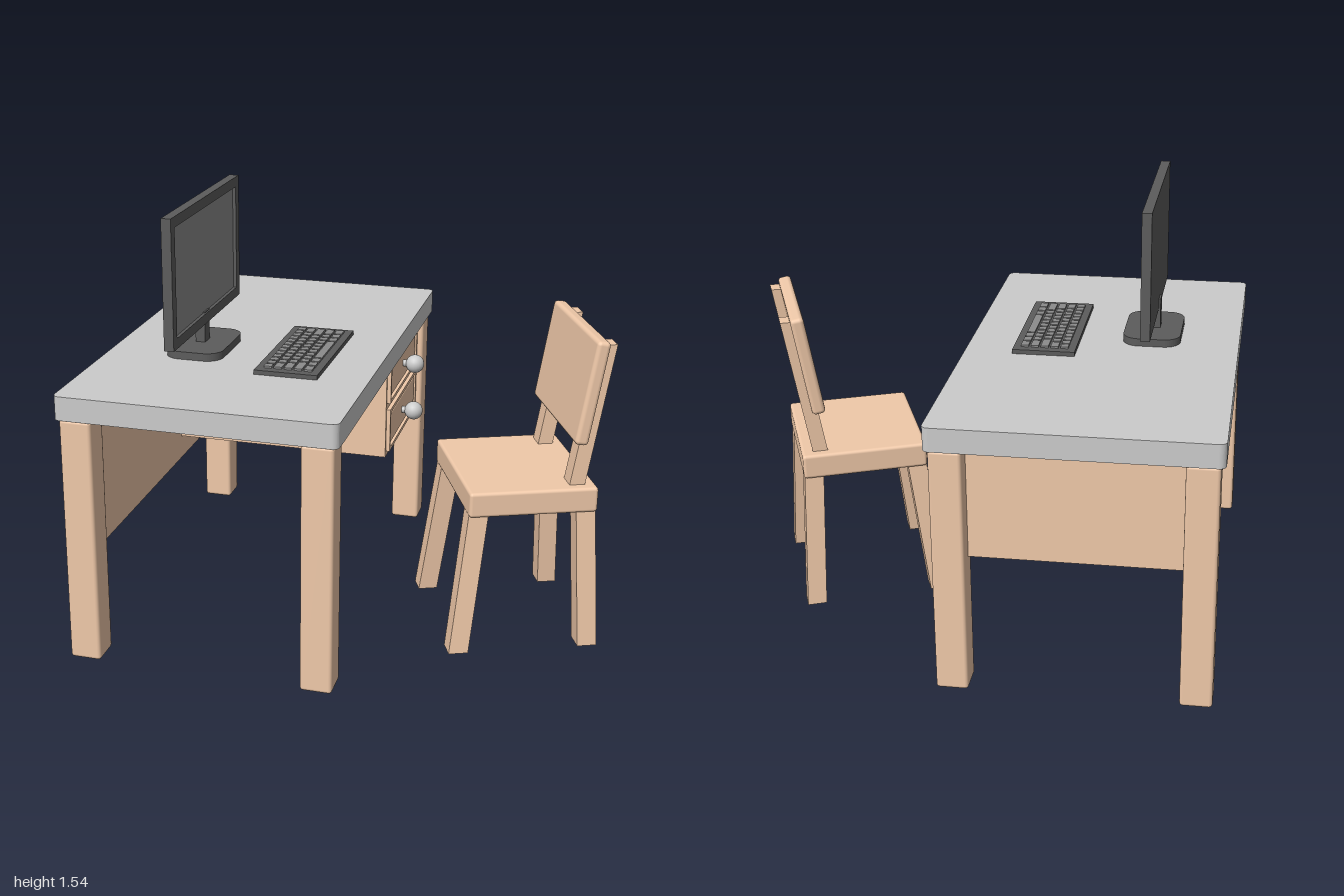
import * as THREE from 'three';
import { RoundedBoxGeometry } from 'three/addons/geometries/RoundedBoxGeometry.js';

const mat = (color) => new THREE.MeshStandardMaterial({ color });
const wood = mat(0xf0c9a9), grey = mat(0xcccccc), dark = mat(0x5c5c5c), screenGrey = mat(0x8c8c8c);

function add(parent, name, geometry, material, x = 0, y = 0, z = 0) {
  const mesh = new THREE.Mesh(geometry, material);
  mesh.name = name;
  mesh.position.set(x, y, z);
  parent.add(mesh);
  return mesh;
}

const box = (w, h, d) => new THREE.BoxGeometry(w, h, d);
const softBox = (w, h, d, r = 0.01) => new RoundedBoxGeometry(w, h, d, 2, r);

// Flat slab with corners rounded in plan, standing on y = 0
function slab(w, d, h, r) {
  const s = new THREE.Shape(), a = w / 2, b = d / 2;
  s.moveTo(-a + r, -b);
  s.absarc(a - r, -b + r, r, -Math.PI / 2, 0);
  s.absarc(a - r, b - r, r, 0, Math.PI / 2);
  s.absarc(-a + r, b - r, r, Math.PI / 2, Math.PI);
  s.absarc(-a + r, -b + r, r, Math.PI, Math.PI * 1.5);
  return new THREE.ExtrudeGeometry(s, { depth: h, bevelEnabled: false, curveSegments: 6 }).rotateX(-Math.PI / 2);
}

// Rectangular ring, its back on z = 0
function ring(w, h, edge, depth) {
  const rect = (path, a, b) => {
    path.moveTo(-a, -b);
    path.lineTo(a, -b);
    path.lineTo(a, b);
    path.lineTo(-a, b);
    path.closePath();
    return path;
  };
  const s = rect(new THREE.Shape(), w / 2, h / 2);
  s.holes.push(rect(new THREE.Path(), w / 2 - edge, h / 2 - edge));
  return new THREE.ExtrudeGeometry(s, { depth, bevelEnabled: false });
}

// Box sheared so its foot is at (x0, y0, z0) and its top at (x1, y1, z1)
function slanted(geometry, [x0, y0, z0], [x1, y1, z1]) {
  const p = geometry.attributes.position;
  for (let i = 0; i < p.count; i++) {
    const t = p.getY(i) + 0.5;
    p.setXYZ(i, p.getX(i) + x0 + (x1 - x0) * t, y0 + (y1 - y0) * t, p.getZ(i) + z0 + (z1 - z0) * t);
  }
  geometry.computeVertexNormals();
  return geometry;
}

function buildDesk() {
  const desk = new THREE.Group();
  desk.name = 'desk';
  add(desk, 'deskTop', slab(1.62, 0.98, 0.085, 0.025), grey, 0, 0.895, 0);
  for (const x of [-0.745, 0.745])
    for (const z of [-0.418, 0.418])
      add(desk, 'deskLeg', softBox(0.112, 0.895, 0.112, 0.012), wood, x, 0.4475, z);
  add(desk, 'backPanel', box(1.42, 0.505, 0.05), wood, 0, 0.6425, -0.418);

  // Drawer cabinet between the right legs
  add(desk, 'drawerCabinet', box(0.57, 0.412, 0.83), wood, 0.448, 0.689, 0.023);
  for (const y of [0.785, 0.59]) {
    add(desk, 'drawerFrame', ring(0.505, 0.17, 0.014, 0.016), wood, 0.426, y, 0.437);
    add(desk, 'drawerFront', softBox(0.46, 0.125, 0.02, 0.006), wood, 0.426, y, 0.439);
    add(desk, 'knobStem', new THREE.CylinderGeometry(0.014, 0.014, 0.05, 12).rotateX(Math.PI / 2), grey, 0.42, y, 0.46);
    add(desk, 'drawerKnob', new THREE.SphereGeometry(0.036, 20, 14), grey, 0.42, y, 0.495);
  }
  return desk;
}

function buildMonitor() {
  const monitor = new THREE.Group();
  monitor.name = 'monitor';
  add(monitor, 'monitorBase', slab(0.31, 0.21, 0.028, 0.06), dark);
  add(monitor, 'monitorNeck', box(0.052, 0.12, 0.036), dark, 0, 0.08, -0.006);
  add(monitor, 'monitorBack', box(0.742, 0.46, 0.02), dark, 0, 0.33, -0.007);
  add(monitor, 'monitorBezel', ring(0.742, 0.46, 0.037, 0.015), dark, 0, 0.33, 0.003);
  add(monitor, 'screen', box(0.668, 0.386, 0.004), screenGrey, 0, 0.33, 0.004);
  return monitor;
}

function buildKeyboard() {
  const keyboard = new THREE.Group();
  keyboard.name = 'keyboard';
  add(keyboard, 'keyboardBase', box(0.533, 0.016, 0.226), dark, 0, 0.008, 0);
  // Rows of key widths in units; each row fills the same length
  const n = (count) => Array(count).fill(1);
  const rows = [n(13), [1.5, ...n(10), 1.5], [1.8, ...n(9), 2.2], [2.3, ...n(9), 1.7], [1.4, 1.2, 1.2, 5.4, 1.2, 1.2, 1.4]];
  rows.forEach((row, r) => {
    const unit = 0.476 / row.reduce((a, b) => a + b, 0);
    let x = -0.238;
    for (const k of row) {
      add(keyboard, 'key', box(k * unit - 0.008, 0.01, 0.028), screenGrey, x + k * unit / 2, 0.018, -0.072 + r * 0.036);
      x += k * unit;
    }
  });
  return keyboard;
}

function buildChair() {
  const chair = new THREE.Group();
  chair.name = 'chair';
  add(chair, 'seat', softBox(0.53, 0.092, 0.457, 0.012), wood, 0, 0.557, 0);
  for (const s of [-1, 1]) {
    // Splayed legs and leaning back posts
    for (const t of [-1, 1])
      add(chair, 'chairLeg', slanted(box(0.07, 1, 0.07), [s * 0.254, 0, t * 0.235 + 0.018], [s * 0.214, 0.53, t * 0.19]), wood);
    add(chair, 'backPost', slanted(box(0.066, 1, 0.055), [s * 0.195, 0.58, -0.157], [s * 0.192, 1.11, -0.242]), wood);
  }
  const rest = add(chair, 'backRest', softBox(0.52, 0.375, 0.048, 0.015), wood, 0, 0.945, -0.185);
  rest.rotation.x = -0.155;
  return chair;
}

export function createModel() {
  const model = new THREE.Group();
  model.name = 'deskSet';

  // Desk and the things on it share one turned frame
  const workplace = new THREE.Group();
  workplace.name = 'workplace';
  workplace.position.set(-0.04, 0, -0.097);
  workplace.rotation.y = THREE.MathUtils.degToRad(44);
  const monitor = buildMonitor(), keyboard = buildKeyboard();
  monitor.position.set(-0.173, 0.98, -0.171);
  keyboard.position.set(-0.147, 0.98, 0.202);
  workplace.add(buildDesk(), monitor, keyboard);

  // Chair faces the desk
  const chair = buildChair();
  chair.position.set(0.597, 0, 0.62);
  chair.rotation.y = THREE.MathUtils.degToRad(-113);
  model.add(workplace, chair);
  return model;
}
